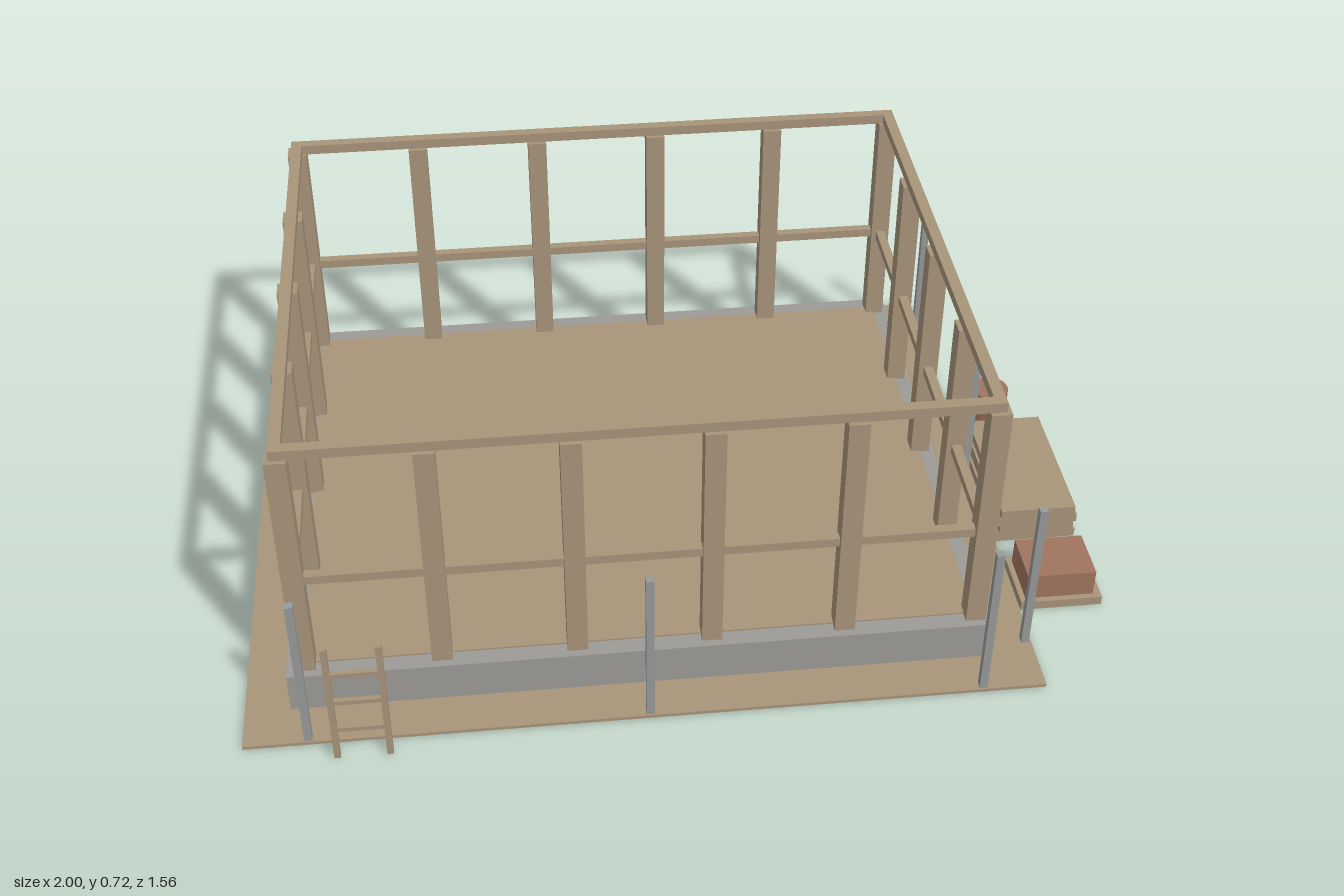
import * as THREE from 'three';

const wood = new THREE.MeshStandardMaterial({ name: 'wood', color: 0xa8947a });
const concrete = new THREE.MeshStandardMaterial({ name: 'concrete', color: 0x9c9b96 });
const metal = new THREE.MeshStandardMaterial({ name: 'metal', color: 0x989a9a });
const clay = new THREE.MeshStandardMaterial({ name: 'clay', color: 0xa0745f });

// Middle of the building and half distances between corner posts
const CX = -0.1, CZ = -0.022, HX = 0.756, HZ = 0.61;

// Box given by its min and max along each axis
function box(parent, name, mat, [x0, x1], [y0, y1], [z0, z1]) {
  const mesh = new THREE.Mesh(new THREE.BoxGeometry(x1 - x0, y1 - y0, z1 - z0), mat);
  mesh.position.set((x0 + x1) / 2, (y0 + y1) / 2, (z0 + z1) / 2);
  mesh.name = name;
  parent.add(mesh);
  return mesh;
}
const around = (c, size) => [c - size / 2, c + size / 2];

function group(parent, name) {
  const g = new THREE.Group();
  g.name = name;
  parent.add(g);
  return g;
}

// Four bars running round the post line
function ringOfBars(parent, name, mat, y, width) {
  const g = group(parent, name);
  for (const s of [-1, 1]) {
    box(g, name + 'Long', mat, around(CX, 2 * HX + width), y, around(CZ + s * HZ, width));
    box(g, name + 'Short', mat, around(CX + s * HX, width), y, around(CZ, 2 * HZ - width));
  }
}

export function createModel() {
  const model = new THREE.Group();
  model.name = 'buildingSite';

  // Ground sheet, foundation wall and floor
  box(model, 'ground', wood, [-1, 0.8], [0.001, 0.009], [-0.777, 0.733]);
  const outline = new THREE.Shape();
  const rect = (path, w, h) => path.moveTo(-w, -h).lineTo(w, -h).lineTo(w, h).lineTo(-w, h).closePath();
  rect(outline, 0.795, 0.651);
  const opening = new THREE.Path();
  rect(opening, 0.717, 0.573);
  outline.holes.push(opening);
  const wallGeo = new THREE.ExtrudeGeometry(outline, { depth: 0.107, bevelEnabled: false });
  wallGeo.rotateX(-Math.PI / 2);
  const foundation = new THREE.Mesh(wallGeo, concrete);
  foundation.name = 'foundation';
  foundation.position.set(CX - 0.003, 0, CZ);
  model.add(foundation);
  box(model, 'floor', wood, around(CX, 1.51), [0.1, 0.111], around(CZ, 1.22));

  // Wall posts
  const posts = group(model, 'posts');
  const post = (x, z) => box(posts, 'post', wood, around(x, 0.046), [0.107, 0.699], around(z, 0.046));
  for (const s of [-1, 1]) {
    for (let i = 0; i < 6; i++) post(CX - HX + (i * 2 * HX) / 5, CZ + s * HZ);
    for (let i = 1; i < 4; i++) post(CX + s * HX, CZ - HZ + (i * HZ) / 2);
  }

  // Rails between the posts and beams on top
  ringOfBars(model, 'middleRail', wood, [0.352, 0.374], 0.022);
  ringOfBars(model, 'topBeam', wood, [0.699, 0.723], 0.026);

  // Metal fence stakes along the front and the left side
  const stakes = group(model, 'stakes');
  const stake = (x, z) => box(stakes, 'stake', metal, around(x, 0.018), [0.003, 0.408], around(z, 0.018));
  for (const s of [-1, 0, 1]) {
    stake(CX + s * HX, 0.72);
    stake(0.785, CZ + s * HZ);
  }

  // Ladder
  const ladder = group(model, 'ladder');
  for (const x of [-0.792, -0.677]) box(ladder, 'ladderSide', wood, around(x, 0.014), [0, 0.325], [0.765, 0.778]);
  for (const y of [0.085, 0.167, 0.248]) box(ladder, 'rung', wood, [-0.786, -0.683], around(y, 0.011), [0.766, 0.777]);

  // Stack of boards
  const stack = group(model, 'boardStack');
  for (let i = 0; i < 4; i++) {
    const inset = i % 2 ? 0.006 : 0;
    box(stack, 'board', wood, [0.805 + inset, 1 - inset], [0.002 + i * 0.0235, 0.0255 + i * 0.0235], [-0.12, 0.238]);
  }

  // Pallet of bricks
  box(model, 'pallet', wood, [0.805, 1], [0, 0.023], [0.321, 0.481]);
  box(model, 'brickPile', clay, [0.818, 0.981], [0.023, 0.091], [0.336, 0.467]);

  // Barrel
  const barrel = new THREE.Mesh(new THREE.CylinderGeometry(0.047, 0.047, 0.098, 24), clay);
  barrel.name = 'barrel';
  barrel.position.set(0.898, 0.05, -0.25);
  model.add(barrel);

  return model;
}
